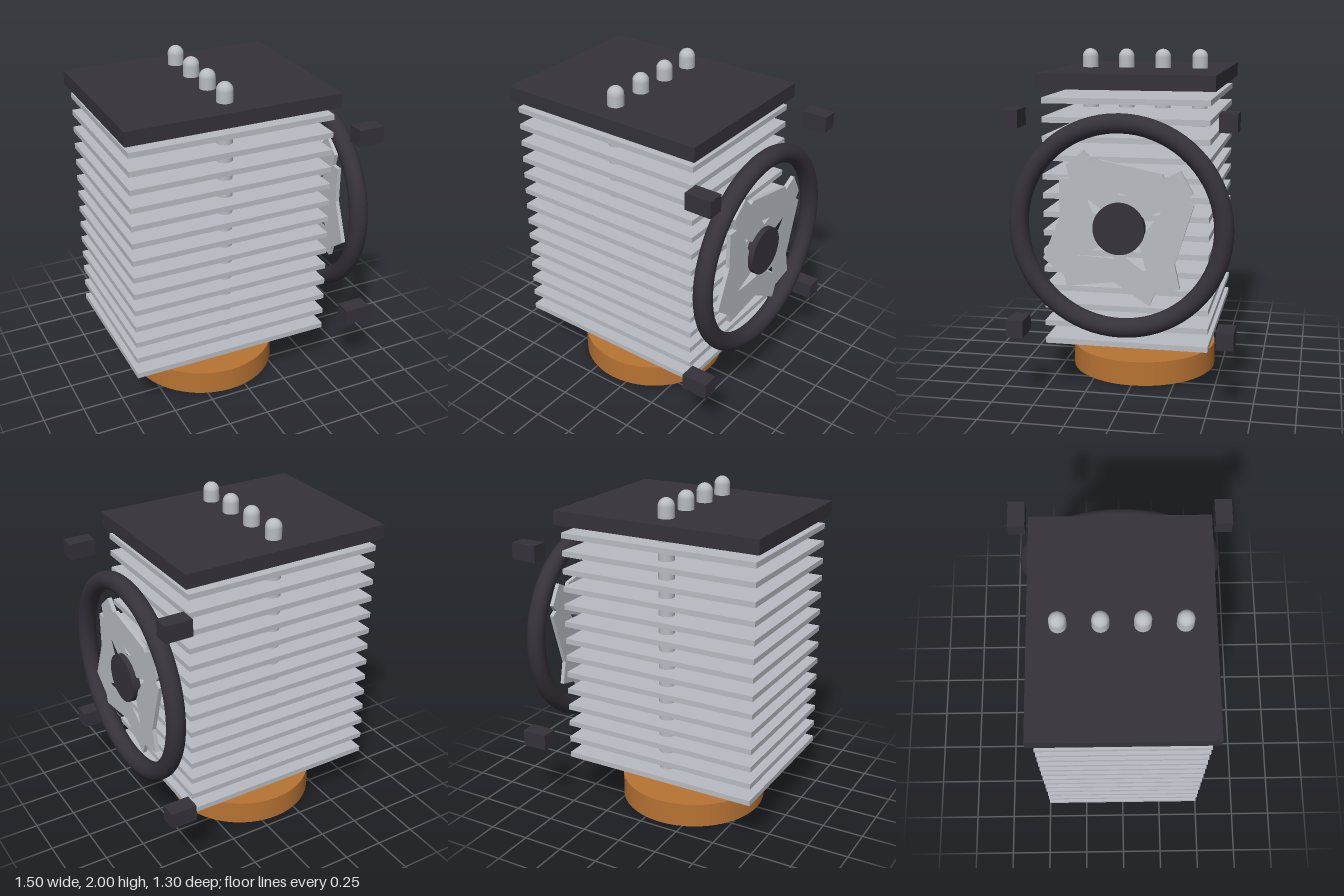
import * as THREE from 'three';

const aluminium = new THREE.MeshStandardMaterial({ color: 0xb8bcc2 });
aluminium.name = 'aluminium';
const darkPlastic = new THREE.MeshStandardMaterial({ color: 0x35323a });
darkPlastic.name = 'dark plastic';
const copper = new THREE.MeshStandardMaterial({ color: 0xb87333 });
copper.name = 'copper';

const TOWER_X = -0.1, FAN_X = 0.67, FAN_Y = 1.053;

function add(parent, name, geometry, material, x = 0, y = 0, z = 0) {
  const mesh = new THREE.Mesh(geometry, material);
  mesh.name = name;
  mesh.position.set(x, y, z);
  parent.add(mesh);
  return mesh;
}

function buildTower() {
  const tower = new THREE.Group();
  tower.name = 'finTower';
  tower.position.x = TOWER_X;

  // Round contact base
  add(tower, 'base', new THREE.CylinderGeometry(0.453, 0.453, 0.15, 48), copper, 0, 0.075, 0);

  // Stack of thin fins
  const fin = new THREE.BoxGeometry(1.245, 0.033, 0.96);
  for (let i = 0; i < 14; i++) add(tower, 'fin', fin, aluminium, 0, 0.318 + i * 0.109, 0);

  // Cover plate
  add(tower, 'topPlate', new THREE.BoxGeometry(1.3, 0.086, 1.02), darkPlastic, 0, 1.843, 0);

  // Four heat pipes with domed ends
  const pipe = new THREE.CylinderGeometry(0.048, 0.048, 1.68, 24);
  const dome = new THREE.SphereGeometry(0.048, 24, 10, 0, Math.PI * 2, 0, Math.PI / 2);
  for (const z of [-0.34, -0.113, 0.113, 0.34]) {
    add(tower, 'heatPipe', pipe, aluminium, 0, 1.112, z);
    add(tower, 'pipeCap', dome, aluminium, 0, 1.952, z);
  }
  return tower;
}

function buildFan() {
  const fan = new THREE.Group();
  fan.name = 'fan';
  fan.position.set(FAN_X, FAN_Y, 0);

  // Ring shroud
  add(fan, 'fanRing', new THREE.TorusGeometry(0.58, 0.055, 20, 72), darkPlastic).rotation.y = Math.PI / 2;

  // Overlapping flat blades, cut as one jagged rotor with gaps around the hub
  const points = list => list.map(([x, y]) => new THREE.Vector2(x, y));
  const rotor = new THREE.Shape(points([
    [-0.2, 0.43], [-0.14, 0.365], [-0.115, 0.38], [0.24, 0.31], [0.25, 0.285], [0.34, 0.33],
    [0.41, 0.205], [0.38, 0.165], [0.415, 0.14], [0.31, -0.195], [0.34, -0.335], [0.2, -0.365],
    [0.17, -0.44], [-0.035, -0.31], [-0.305, -0.345], [-0.32, -0.285], [-0.44, -0.19],
    [-0.34, 0.05], [-0.34, 0.27], [-0.28, 0.27], [-0.3, 0.345],
  ]));
  const gaps = [
    [[-0.185, 0.165], [-0.095, 0.095], [-0.125, 0.03]],
    [[-0.01, 0.2], [0.075, 0.18], [0.02, 0.16]],
    [[0.09, 0.05], [0.235, 0.1], [0.13, -0.04]],
    [[0.11, -0.07], [0.152, -0.25], [0.04, -0.17], [0.05, -0.1]],
    [[-0.03, -0.175], [-0.24, -0.165], [-0.09, -0.1]],
  ];
  rotor.holes = gaps.map(gap => new THREE.Path(points(gap)));
  const blades = new THREE.ExtrudeGeometry(rotor, { depth: 0.025, bevelEnabled: false });
  blades.translate(0, 0, -0.0125);
  add(fan, 'fanBlades', blades, aluminium).rotation.y = Math.PI / 2;

  // Hub
  add(fan, 'fanHub', new THREE.CylinderGeometry(0.145, 0.145, 0.05, 40), darkPlastic, 0.02).rotation.z = Math.PI / 2;

  // Corner mounting blocks
  const block = new THREE.BoxGeometry(0.16, 0.1, 0.1);
  for (const y of [-0.6, 0.6])
    for (const z of [-0.6, 0.6]) add(fan, 'mountBlock', block, darkPlastic, 0, y, z);
  return fan;
}

export function createModel() {
  const model = new THREE.Group();
  model.name = 'towerCooler';
  model.add(buildTower(), buildFan());
  return model;
}
